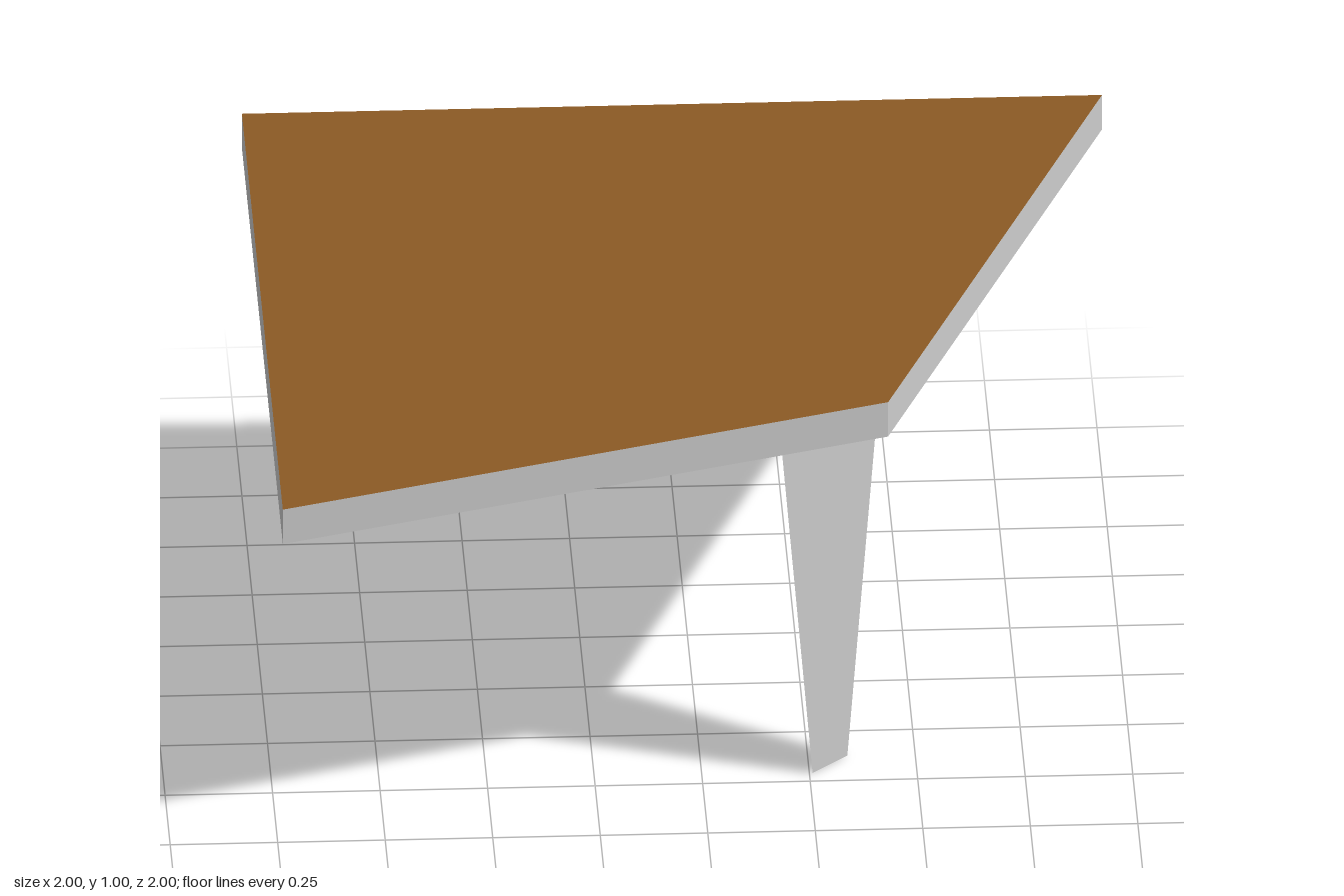
import * as THREE from 'three';

const HEIGHT = 1, RIM = 0.09;
// Tabletop outline as [x, z], counter-clockwise seen from above
const OUTLINE = [[-1, -1], [-1, 1], [0.43, 0.525], [1, -1]];

function material(name, color) {
  const m = new THREE.MeshStandardMaterial({ color, side: THREE.DoubleSide });
  m.name = name;
  return m;
}

function sheet(name, points, mat) {
  const shape = new THREE.Shape(points.map(([x, y]) => new THREE.Vector2(x, y)));
  const mesh = new THREE.Mesh(new THREE.ShapeGeometry(shape), mat);
  mesh.name = name;
  return mesh;
}

export function createModel() {
  const wood = material('brown wood', 0x8c5a24);
  const metal = material('light grey', 0xcccccc);
  const table = new THREE.Group();
  table.name = 'table';

  // Thin top, open underneath
  const top = sheet('tabletop', OUTLINE.map(([x, z]) => [x, -z]), wood);
  top.rotation.x = -Math.PI / 2;
  top.position.y = HEIGHT;
  table.add(top);

  // Rim sheets hanging from each edge of the top
  const rim = new THREE.Group();
  rim.name = 'rim';
  OUTLINE.forEach(([x0, z0], i) => {
    const [x1, z1] = OUTLINE[(i + 1) % OUTLINE.length];
    const length = Math.hypot(x1 - x0, z1 - z0);
    const side = sheet('rimSide', [[0, -RIM], [length, -RIM], [length, 0], [0, 0]], metal);
    side.position.set(x0, HEIGHT, z0);
    side.rotation.y = Math.atan2(z0 - z1, x1 - x0);
    rim.add(side);
  });
  table.add(rim);

  // Two tapered sheet legs, set diagonally and reaching up to the top
  const legProfile = [[-0.06, 0], [0.06, 0], [0.18, HEIGHT - 0.002], [-0.18, HEIGHT - 0.002]];
  for (const [name, x, z] of [['frontLeg', 0.3, 0.417], ['backLeg', -0.81, -0.82]]) {
    const leg = sheet(name, legProfile, metal);
    leg.position.set(x, 0, z);
    leg.rotation.y = Math.PI / 4;
    table.add(leg);
  }
  return table;
}
